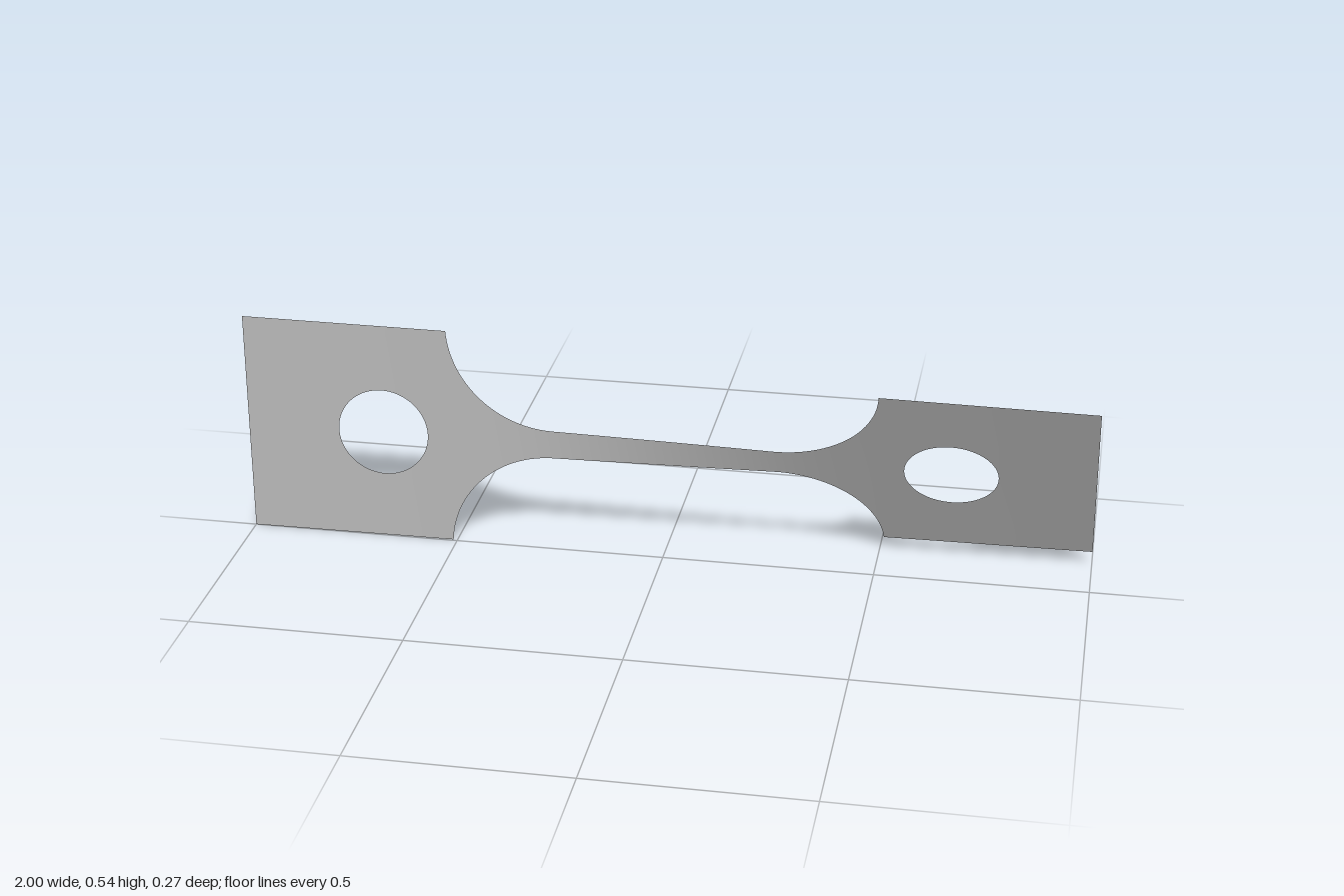
import * as THREE from 'three';
import { mergeVertices } from 'three/addons/utils/BufferGeometryUtils.js';

const HALF = 0.272, NECK = 0.036;          // half heights of tab and neck
const HOLE_X = 0.67, HOLE_R = 0.108;       // round hole in each tab
const FILLET_X = 0.26, FILLET_R = 0.25;    // concave shoulder
const SHOULDER = 0.51;

// Outer edge height of the strip
function outer(x) {
  const d = Math.abs(x) - FILLET_X;
  if (d <= 0) return NECK;
  if (d >= SHOULDER - FILLET_X) return HALF;
  return Math.min(HALF, NECK + FILLET_R - Math.sqrt(FILLET_R ** 2 - d * d));
}

// Inner edge height: follows the hole, otherwise the centre line
function inner(x) {
  const d = Math.abs(x) - HOLE_X;
  return Math.sqrt(Math.max(0, HOLE_R ** 2 - d * d));
}

// Twist angle along the strip: 0 to 30 degrees, mostly in the neck
function twist(x) {
  const a = Math.abs(x);
  const lerp = THREE.MathUtils.mapLinear;
  let deg;
  if (a < FILLET_X) deg = lerp(a, 0, FILLET_X, 0, 10);
  else if (a < SHOULDER) {
    const t = (a - FILLET_X) / (SHOULDER - FILLET_X);
    deg = 14 - 4 * (1 - t) ** 2.2;
  } else deg = lerp(a, SHOULDER, 1, 14, 15);
  return THREE.MathUtils.degToRad(15 + Math.sign(x) * deg);
}

// Column positions, packed closely where the edges curve
function columns() {
  const xs = [];
  for (let i = 0; i < 16; i++) xs.push(FILLET_X * i / 16);
  for (let i = 0; i < 28; i++) xs.push(FILLET_X + (SHOULDER - FILLET_X) * Math.sin(i / 28 * Math.PI / 2));
  xs.push(SHOULDER, 0.535);
  for (let i = 0; i <= 40; i++) xs.push(HOLE_X - HOLE_R * Math.cos(i / 40 * Math.PI));
  for (let i = 1; i <= 6; i++) xs.push(HOLE_X + HOLE_R + (1 - HOLE_X - HOLE_R) * i / 6);
  return [...xs.slice(1).reverse().map(x => -x), ...xs];
}

function stripGeometry() {
  const xs = columns(), rows = 8, pos = [], index = [];
  for (const side of [-1, 1]) {
    const base = pos.length / 3;
    xs.forEach((x, c) => {
      const a = twist(x);
      for (let r = 0; r <= rows; r++) {
        const t = side > 0 ? r / rows : 1 - r / rows;
        const h = side * THREE.MathUtils.lerp(inner(x), outer(x), t);
        pos.push(x, HALF + h * Math.cos(a), h * Math.sin(a));
        if (c < xs.length - 1 && r < rows) {
          const i = base + c * (rows + 1) + r, j = i + rows + 1;
          index.push(i, j, j + 1, i, j + 1, i + 1);
        }
      }
    });
  }
  let g = new THREE.BufferGeometry();
  g.setAttribute('position', new THREE.Float32BufferAttribute(pos, 3));
  g.setIndex(index);
  g = mergeVertices(g, 1e-5);
  g.computeVertexNormals();
  return g;
}

export function createModel() {
  const group = new THREE.Group();
  group.name = 'twistedStrip';
  const metal = new THREE.MeshStandardMaterial({ color: 0xb8b8b8, side: THREE.DoubleSide });
  metal.name = 'light grey';
  // Thin sheet with two holed tabs joined by a twisted neck
  const strip = new THREE.Mesh(stripGeometry(), metal);
  strip.name = 'sheetStrip';
  group.add(strip);
  return group;
}
